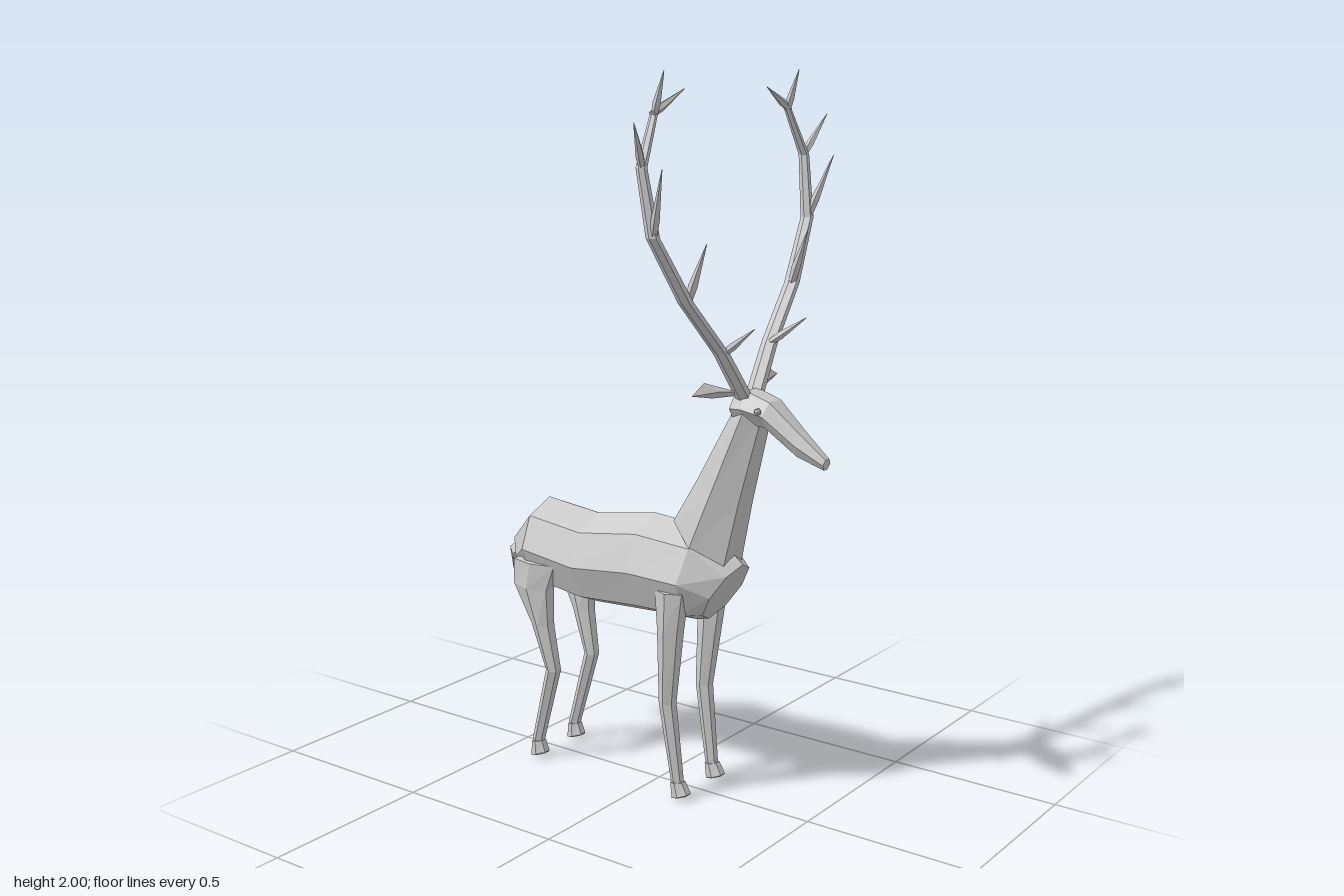
import * as THREE from 'three';
import { ConvexGeometry } from 'three/addons/geometries/ConvexGeometry.js';

const material = new THREE.MeshStandardMaterial({ color: 0xcccccc, flatShading: true });
const V = (x, y, z) => new THREE.Vector3(x, y, z);

function add(parent, name, geometry) {
  const mesh = new THREE.Mesh(geometry, material);
  mesh.name = name;
  parent.add(mesh);
  return mesh;
}

// Faceted loft. Each ring: [y1, z1, y2, z2, halfWidth, x], where (y1, z1) and
// (y2, z2) are the two opposite outline points of the section seen from the side.
function loft(sides, rings) {
  const step = (Math.PI * 2) / sides;
  const maxSin = Math.max(...Array.from({ length: sides }, (_, i) => Math.sin(i * step)));
  const centres = rings.map(([y1, z1, y2, z2, , x = 0]) => V(x, (y1 + y2) / 2, (z1 + z2) / 2));
  const loops = rings.map(([y1, z1, y2, z2, w], r) =>
    Array.from({ length: sides }, (_, i) => {
      const s = Math.sin(i * step) / maxSin / 2;
      return centres[r].clone().add(V(w * Math.cos(i * step), (y1 - y2) * s, (z1 - z2) * s));
    }));
  const tris = [];
  const last = loops.length - 1;
  for (let i = 0; i < sides; i++) {
    const j = (i + 1) % sides;
    for (let r = 0; r < last; r++) {
      const [a, b, c, d] = [loops[r][i], loops[r][j], loops[r + 1][j], loops[r + 1][i]];
      tris.push([a, b, c], [a, c, d]);
    }
    tris.push([centres[0], loops[0][j], loops[0][i]]);
    tris.push([centres[last], loops[last][i], loops[last][j]]);
  }
  // turn the faces outward whichever way the rings run
  const volume = tris.reduce((sum, [a, b, c]) => sum + a.clone().sub(centres[0])
    .dot(b.clone().sub(centres[0]).cross(c.clone().sub(centres[0]))), 0);
  if (volume < 0) tris.forEach((t) => t.reverse());
  const geometry = new THREE.BufferGeometry().setFromPoints(tris.flat());
  geometry.computeVertexNormals();
  return geometry;
}

// Tapered rod from a to b
function rod(a, b, r1, r2, sides = 5) {
  const dir = b.clone().sub(a);
  const geometry = new THREE.CylinderGeometry(r2, r1, dir.length(), sides);
  geometry.applyQuaternion(new THREE.Quaternion().setFromUnitVectors(V(0, 1, 0), dir.clone().normalize()));
  const mid = a.clone().add(b).multiplyScalar(0.5);
  return geometry.translate(mid.x, mid.y, mid.z);
}

function createAntler(side) {
  const antler = new THREE.Group();
  antler.name = side > 0 ? 'leftAntler' : 'rightAntler';
  const P = ([x, y, z]) => V(x * side, y, z);
  // main beam: x, y, z, radius
  const beam = [
    [0.02, 1.15, 0.295, 0.022], [0.115, 1.285, 0.282, 0.02], [0.25, 1.43, 0.265, 0.019],
    [0.36, 1.6, 0.243, 0.016], [0.375, 1.77, 0.22, 0.013], [0.305, 1.9, 0.207, 0.009],
  ];
  add(antler, 'antlerBeam', loft(6, beam.map(([x, y, z, r]) => [y, z + r, y, z - r, r, x * side])));
  // tines: root, tip, radius
  const tines = [
    [[0.11, 1.285, 0.285], [0.125, 1.36, 0.39], 0.011],
    [[0.245, 1.43, 0.267], [0.24, 1.58, 0.32], 0.013],
    [[0.36, 1.595, 0.244], [0.4, 1.77, 0.3], 0.012],
    [[0.37, 1.765, 0.22], [0.445, 1.88, 0.25], 0.011],
    [[0.305, 1.89, 0.207], [0.31, 2, 0.24], 0.011],
    [[0.315, 1.895, 0.207], [0.19, 1.955, 0.215], 0.011],
  ];
  for (const [root, tip, r] of tines) {
    const middle = root.map((v, i) => v + (tip[i] - v) * 0.3);
    add(antler, 'antlerTineBase', rod(P(root), P(middle), r * 0.8, r));
    add(antler, 'antlerTine', rod(P(middle), P(tip), r, 0.001));
  }
  return antler;
}

export function createModel() {
  const deer = new THREE.Group();
  deer.name = 'deer';

  // Torso, from chest to rump
  add(deer, 'body', loft(8, [
    [0.69, 0.28, 0.515, 0.17, 0.08],
    [0.775, 0.17, 0.505, 0.13, 0.132],
    [0.79, -0.015, 0.5, -0.015, 0.135],
    [0.757, -0.215, 0.49, -0.215, 0.132],
    [0.777, -0.4, 0.515, -0.4, 0.128],
    [0.667, -0.507, 0.53, -0.45, 0.066],
  ]));

  // Neck, from shoulders to skull
  add(deer, 'neck', loft(6, [
    [0.79, 0.08, 0.68, 0.245, 0.09],
    [0.92, 0.155, 0.86, 0.285, 0.074],
    [1.12, 0.262, 1.12, 0.352, 0.052],
  ]));

  // Head, from the back of the skull to the muzzle
  add(deer, 'head', loft(6, [
    [1.165, 0.265, 1.09, 0.262, 0.05],
    [1.177, 0.3, 1.085, 0.31, 0.06],
    [1.153, 0.375, 1.085, 0.36, 0.056],
    [1.08, 0.46, 1.018, 0.455, 0.036],
    [1.018, 0.537, 0.99, 0.532, 0.019],
  ]));

  // Tail
  add(deer, 'tail', loft(6, [
    [0.655, -0.48, 0.6, -0.46, 0.024],
    [0.605, -0.543, 0.572, -0.495, 0.033],
    [0.535, -0.543, 0.53, -0.535, 0.006],
  ]));

  for (const side of [1, -1]) {
    const prefix = side > 0 ? 'left' : 'right';
    const limb = (name, rings) => add(deer, prefix + name,
      loft(6, rings.map(([y1, z1, y2, z2, w, x]) => [y1, z1, y2, z2, w, x * side])));

    // Legs: outline points are the front and back edges
    limb('FrontLeg', [
      [0.61, 0.16, 0.61, 0.07, 0.036, 0.1],
      [0.5, 0.143, 0.5, 0.075, 0.034, 0.098],
      [0.28, 0.115, 0.28, 0.072, 0.025, 0.09],
      [0.05, 0.14, 0.05, 0.108, 0.018, 0.085],
    ]);
    limb('FrontHoof', [
      [0.052, 0.145, 0.045, 0.106, 0.019, 0.085],
      [0.02, 0.163, 0, 0.112, 0.021, 0.085],
      [0.015, 0.16, 0, 0.114, 0.019, 0.085],
    ]);
    limb('HindLeg', [
      [0.61, -0.29, 0.61, -0.44, 0.036, 0.1],
      [0.53, -0.32, 0.535, -0.44, 0.036, 0.1],
      [0.42, -0.322, 0.42, -0.382, 0.03, 0.095],
      [0.285, -0.3, 0.285, -0.338, 0.023, 0.09],
      [0.05, -0.368, 0.05, -0.4, 0.018, 0.085],
    ]);
    limb('HindHoof', [
      [0.052, -0.364, 0.045, -0.402, 0.019, 0.085],
      [0.02, -0.352, 0, -0.405, 0.021, 0.085],
      [0.015, -0.354, 0, -0.402, 0.019, 0.085],
    ]);

    // Leaf-shaped ear
    add(deer, prefix + 'Ear', new ConvexGeometry([
      V(0.035 * side, 1.172, 0.285), V(0.035 * side, 1.16, 0.27), V(0.035 * side, 1.172, 0.262),
      V(0.15 * side, 1.21, 0.252), V(0.13 * side, 1.168, 0.265), V(0.12 * side, 1.185, 0.28),
      V(0.205 * side, 1.183, 0.252),
    ]));

    // Eye
    add(deer, prefix + 'Eye', new THREE.IcosahedronGeometry(0.011, 0))
      .position.set(0.053 * side, 1.13, 0.355);

    deer.add(createAntler(side));
  }
  return deer;
}
